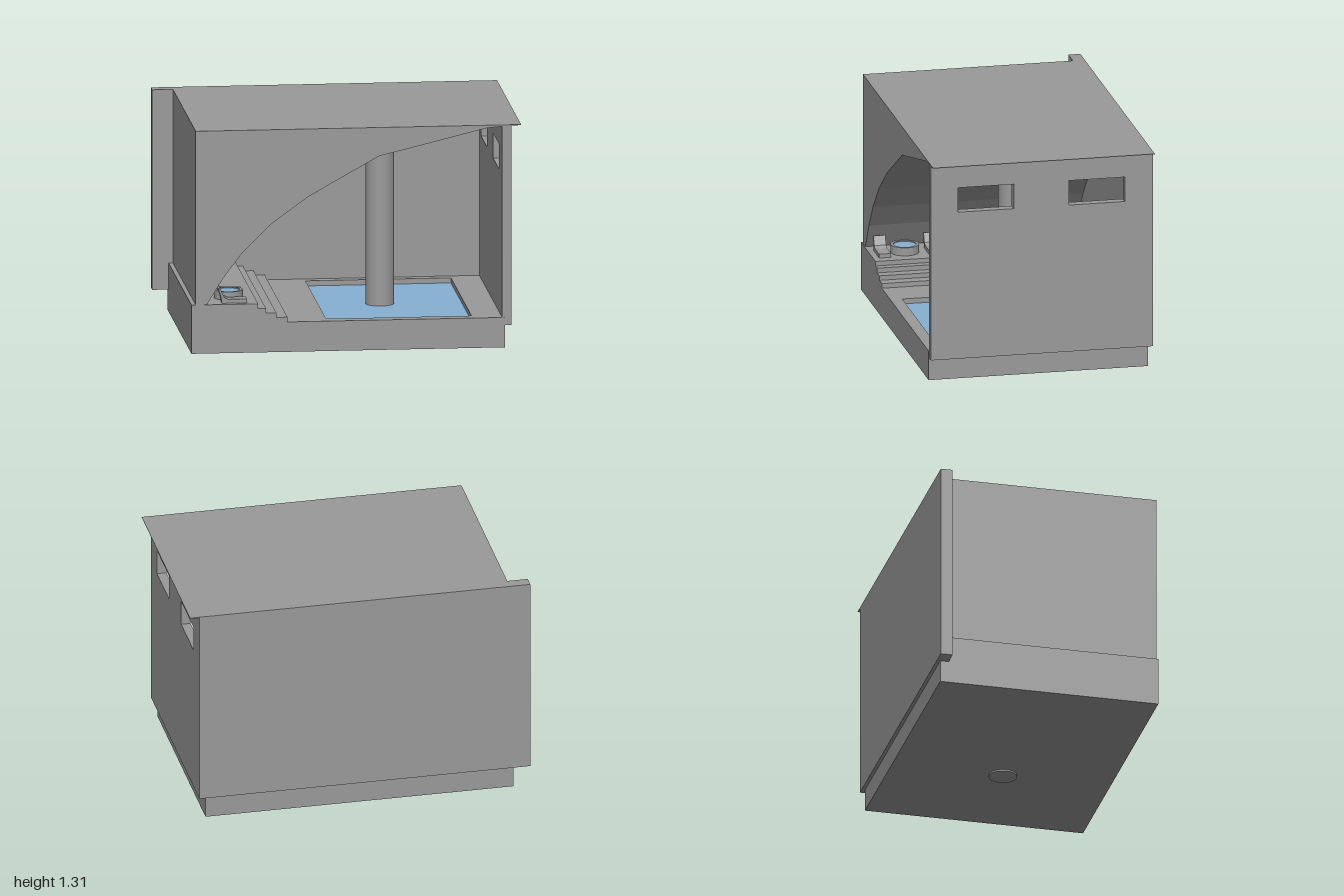
import * as THREE from 'three';

export function createModel() {
  const group = new THREE.Group();
  const concrete = new THREE.MeshStandardMaterial({ color: 0x9a9a9a });
  concrete.name = 'concrete grey';
  const blue = new THREE.MeshStandardMaterial({ color: 0x86b0d2 });
  blue.name = 'water blue';

  const add = (name, geometry, material = concrete, x = 0, y = 0, z = 0) => {
    const mesh = new THREE.Mesh(geometry, material);
    mesh.name = name;
    mesh.position.set(x, y, z);
    group.add(mesh);
    return mesh;
  };
  // Box given by its extents
  const box = (name, x0, x1, y0, y1, z0, z1, material) =>
    add(name, new THREE.BoxGeometry(x1 - x0, y1 - y0, z1 - z0), material,
      (x0 + x1) / 2, (y0 + y1) / 2, (z0 + z1) / 2);
  const polygon = (points) => new THREE.Shape(points.map(([x, y]) => new THREE.Vector2(x, y)));
  const rectangle = (x0, x1, y0, y1) => polygon([[x0, y0], [x1, y0], [x1, y1], [x0, y1]]);
  const extrude = (shape, depth) => new THREE.ExtrudeGeometry(shape, { depth, bevelEnabled: false });
  // Front profile (x, y) swept from z0 to z1
  const profile = (name, points, z0, z1) =>
    add(name, extrude(polygon(points), z1 - z0), concrete, 0, 0, z0);

  // Foundation with a sunken pool
  const pool = { x0: -0.12, x1: 0.72, z0: -0.53, z1: 0.585 };
  box('foundation', -0.905, 0.905, 0.01, 0.13, -0.635, 0.655);
  const floor = rectangle(-0.905, 0.905, -0.655, 0.635);
  floor.holes.push(rectangle(pool.x0, pool.x1, -pool.z1, -pool.z0));
  add('floor', extrude(floor, 0.055).rotateX(-Math.PI / 2), concrete, 0, 0.13, 0);
  box('poolWater', pool.x0, pool.x1, 0.13, 0.155, pool.z0, pool.z1, blue);

  // Raised deck stepping down to the floor
  profile('steppedDeck', [
    [-0.905, 0.185], [-0.35, 0.185], [-0.35, 0.213], [-0.415, 0.213], [-0.415, 0.24],
    [-0.475, 0.24], [-0.475, 0.268], [-0.52, 0.268], [-0.52, 0.295], [-0.905, 0.295],
  ], -0.6, 0.655);

  // Half-vault: flat roof above, curved underside
  profile('vaultedRoof', [
    [-0.88, 0.295], [-0.815, 0.295], [-0.72, 0.45], [-0.61, 0.595], [-0.45, 0.755], [-0.23, 0.915],
    [0.18, 1.145], [0.33, 1.18], [0.8, 1.295], [0.89, 1.303], [0.89, 1.312], [-0.88, 1.312],
  ], -0.6, 0.65);
  profile('roofOverhang', [[0.89, 1.303], [1, 1.309], [1, 1.312], [0.89, 1.312]], -0.655, 0.65);

  // Back wall, running on past the left side as a fin
  box('backWall', -1, 0.945, 0.14, 1.312, -0.655, -0.585);

  // Side wall with two open windows
  const wall = rectangle(-0.65, 0.655, 0.14, 1.31);
  for (const u of [-0.49, 0.163]) wall.holes.push(rectangle(u, u + 0.327, 1.02, 1.167));
  add('sideWall', extrude(wall, 0.055).rotateY(Math.PI / 2), concrete, 0.89, 0, 0);

  // Column rising through the pool
  add('column', new THREE.CylinderGeometry(0.082, 0.082, 1.22, 40), concrete, 0.25, 0.61, 0.02);

  // Round tub with water
  const lathe = (points, segments = 32) =>
    new THREE.LatheGeometry(points.map(([x, y]) => new THREE.Vector2(x, y)), segments);
  add('tubBase', new THREE.CylinderGeometry(0.083, 0.083, 0.025, 32), concrete, -0.67, 0.307, 0.45);
  add('tubRim', lathe([[0.083, 0], [0.083, 0.025], [0.066, 0.025], [0.066, 0]]).toNonIndexed(),
    concrete, -0.67, 0.318, 0.45).geometry.computeVertexNormals();
  add('tubWater', new THREE.CylinderGeometry(0.067, 0.067, 0.008, 32), blue, -0.67, 0.333, 0.45);

  // Lounge chairs on both sides of the tub
  for (const z of [0.29, 0.585]) {
    profile('loungeChair', [
      [-0.725, 0.295], [-0.58, 0.295], [-0.58, 0.318], [-0.69, 0.318], [-0.712, 0.33],
      [-0.735, 0.382], [-0.745, 0.378], [-0.732, 0.335],
    ], z - 0.035, z + 0.035);
  }

  // Pedestal bowl with a small figure
  const [px, pz] = [-0.66, -0.44];
  add('pedestalBowl', lathe([
    [0, 0], [0.024, 0], [0.024, 0.012], [0.011, 0.02], [0.009, 0.055],
    [0.014, 0.062], [0.032, 0.075], [0.032, 0.08], [0, 0.076],
  ], 20), concrete, px, 0.295, pz);
  add('figureBody', new THREE.CylinderGeometry(0.006, 0.01, 0.04, 10), concrete, px + 0.003, 0.388, pz)
    .rotation.z = -0.2;
  add('figureHead', new THREE.SphereGeometry(0.01, 12, 8), concrete, px + 0.008, 0.412, pz);

  return group;
}
